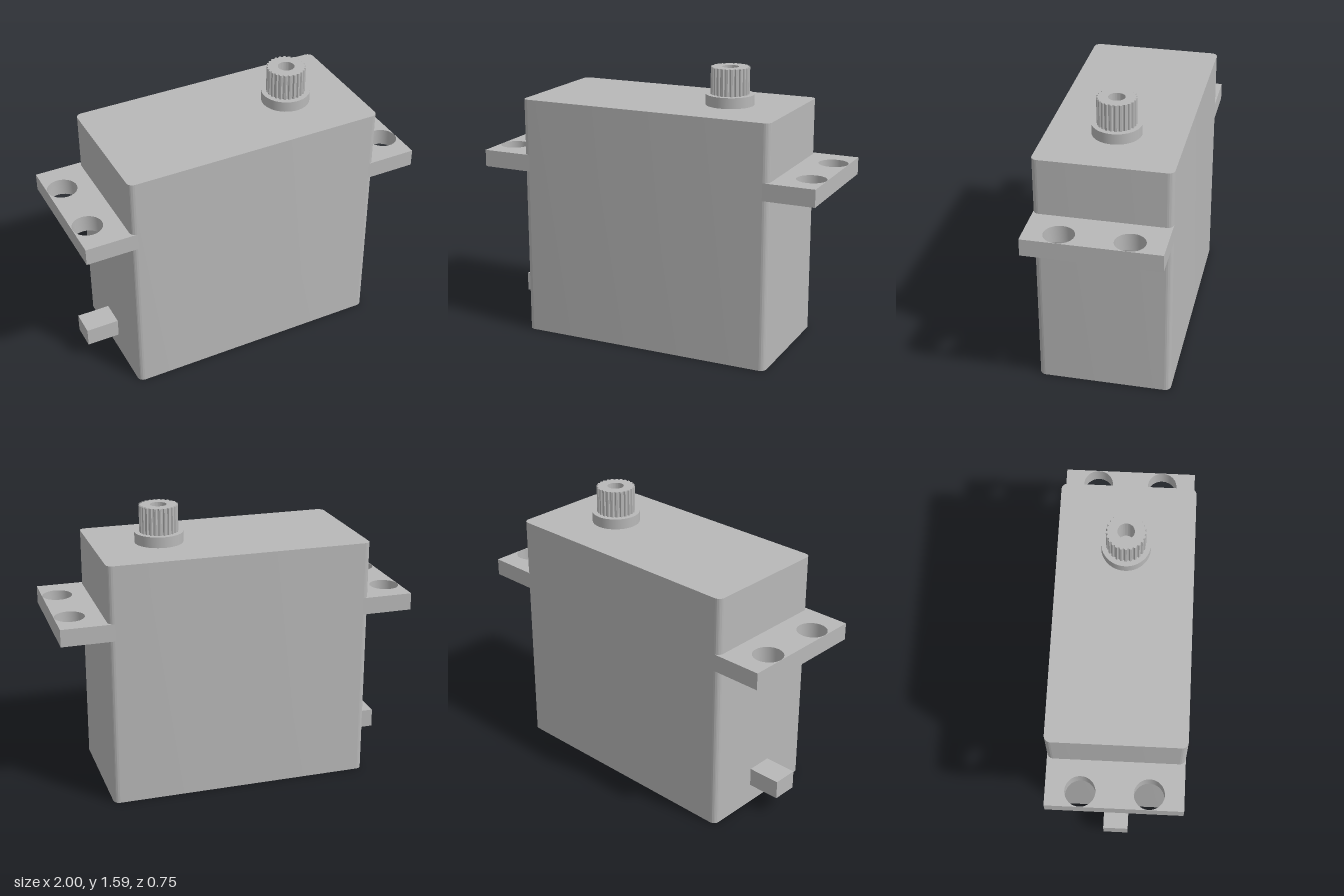
import * as THREE from 'three';
import { toCreasedNormals } from 'three/addons/utils/BufferGeometryUtils.js';

const grey = new THREE.MeshStandardMaterial({ color: 0xb8b8b8 });
grey.name = 'grey plastic';

const HX = 0.742, HZ = 0.373, R = 0.035; // half sizes and corner radius of the case
const SHAFT_X = 0.367;

// Extrudes a plan shape upward from y0 to y1, smoothing only the round sides
function slab(shape, y0, y1, crease = 0.6) {
  const geo = new THREE.ExtrudeGeometry(shape, { depth: y1 - y0, bevelEnabled: false, curveSegments: 24 });
  geo.rotateX(-Math.PI / 2);
  geo.translate(0, y0, 0);
  return toCreasedNormals(geo, crease);
}

function circleHole(x, y, r) {
  const p = new THREE.Path();
  p.absarc(x, y, r, 0, Math.PI * 2, true);
  return p;
}

export function createModel() {
  const model = new THREE.Group();
  model.name = 'servoMotor';
  const add = (name, geo, x = 0, y = 0, z = 0) => {
    const mesh = new THREE.Mesh(geo, grey);
    mesh.name = name;
    mesh.position.set(x, y, z);
    model.add(mesh);
  };

  // Case with rounded vertical edges
  const plan = new THREE.Shape();
  plan.absarc(HX - R, HZ - R, R, 0, Math.PI / 2);
  plan.absarc(-HX + R, HZ - R, R, Math.PI / 2, Math.PI);
  plan.absarc(-HX + R, -HZ + R, R, Math.PI, Math.PI * 1.5);
  plan.absarc(HX - R, -HZ + R, R, Math.PI * 1.5, Math.PI * 2);
  add('case', slab(plan, 0, 1.38));

  // Mounting flanges, each with two screw holes
  for (const [name, s] of [['leftFlange', 1], ['rightFlange', -1]]) {
    const x0 = Math.min(s, s * (HX - R)), x1 = Math.max(s, s * (HX - R));
    const flange = new THREE.Shape([
      new THREE.Vector2(x0, -HZ), new THREE.Vector2(x1, -HZ),
      new THREE.Vector2(x1, HZ), new THREE.Vector2(x0, HZ),
    ]);
    for (const z of [-0.185, 0.185]) flange.holes.push(circleHole(s * 0.915, z, 0.083));
    add(name, slab(flange, 0.963, 1.06));
  }

  // Cable outlet
  add('cableOutlet', new THREE.BoxGeometry(0.2, 0.107, 0.145), -0.83, 0.167, 0);

  // Shaft collar
  add('shaftCollar', new THREE.CylinderGeometry(0.135, 0.135, 0.06, 48), SHAFT_X, 1.41, 0);

  // Splined output shaft with a central screw hole
  const TEETH = 25, step = (Math.PI * 2) / TEETH;
  const points = [];
  for (let i = 0; i < TEETH; i++) {
    for (const [f, r] of [[0, 0.1], [0.25, 0.1], [0.45, 0.108], [0.8, 0.108]]) {
      const a = (i + f) * step;
      points.push(new THREE.Vector2(Math.cos(a) * r, Math.sin(a) * r));
    }
  }
  const spline = new THREE.Shape(points);
  spline.holes.push(circleHole(0, 0, 0.046));
  add('splinedShaft', slab(spline, 1.44, 1.59, 0.35), SHAFT_X);

  return model;
}
